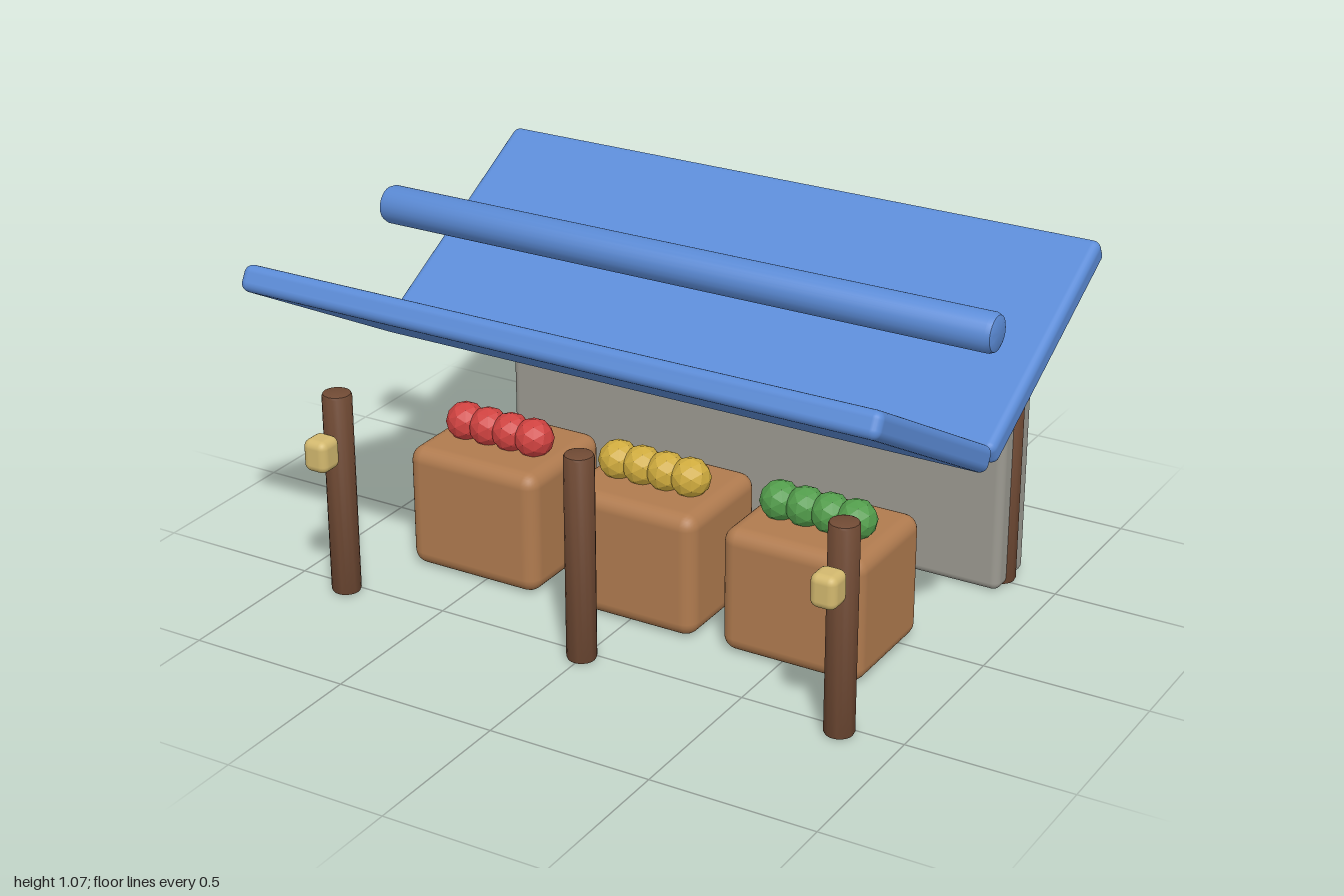
import * as THREE from 'three';
import { RoundedBoxGeometry } from 'three/addons/geometries/RoundedBoxGeometry.js';
import { toCreasedNormals } from 'three/addons/utils/BufferGeometryUtils.js';

function material(name, color, flatShading = false) {
  const m = new THREE.MeshStandardMaterial({ color, flatShading });
  m.name = name;
  return m;
}

// Upright cylinder with small bevels at both ends, centred on the origin
function bevelledRod(radius, length, bevel, sides = 20) {
  const h = length / 2;
  const profile = [
    [0, -h], [radius - bevel, -h], [radius - bevel * 0.3, -h + bevel * 0.3], [radius, -h + bevel],
    [radius, h - bevel], [radius - bevel * 0.3, h - bevel * 0.3], [radius - bevel, h], [0, h],
  ].map(([x, y]) => new THREE.Vector2(x, y));
  return toCreasedNormals(new THREE.LatheGeometry(profile, sides), 0.7);
}

export function createModel() {
  const model = new THREE.Group();
  model.name = 'marketStall';

  const cloth = material('blue roof', 0x5b8bd6);
  const wood = material('dark wood', 0x704a34);
  const stone = material('grey wall', 0x9c9a91);
  const crateWood = material('crate wood', 0xb07b4f);
  const lampGlow = material('lantern yellow', 0xd2b86e);
  const produce = [
    material('red fruit', 0xcf4240, true),
    material('yellow fruit', 0xcfab3e, true),
    material('green fruit', 0x529c4b, true),
  ];

  function add(name, geometry, mat, x, y, z) {
    const mesh = new THREE.Mesh(geometry, mat);
    mesh.name = name;
    mesh.position.set(x, y, z);
    model.add(mesh);
    return mesh;
  }

  // Two roof panels meeting in a valley
  const panel = new RoundedBoxGeometry(2, 0.078, 0.8, 3, 0.025);
  for (const s of [1, -1]) {
    const roof = add(s > 0 ? 'frontRoofPanel' : 'backRoofPanel', panel, cloth, 0, 0.832, s * 0.36);
    roof.rotation.x = -s * 0.5;
  }

  // Pole running above the valley
  const pole = add('roofPole', bevelledRod(0.058, 2, 0.02, 24), cloth, 0, 1.013, 0);
  pole.rotation.z = Math.PI / 2;

  // Back wall with posts set into its ends
  add('backWall', new RoundedBoxGeometry(1.7, 0.64, 0.186, 3, 0.025), stone, 0, 0.32, -0.512);
  const post = bevelledRod(0.044, 0.64, 0.01);
  for (const x of [-0.82, 0.82]) add('backPost', post, wood, x, 0.32, -0.51);

  // Front posts, the outer two carrying lanterns
  const lantern = new RoundedBoxGeometry(0.08, 0.1, 0.084, 3, 0.024);
  for (const x of [-0.82, 0, 0.82]) {
    add('frontPost', post, wood, x, 0.32, 0.533);
    if (x !== 0) add('lantern', lantern, lampGlow, x, 0.48, 0.618);
  }

  // Crates, each with a row of four fruit on top
  const crate = new RoundedBoxGeometry(0.445, 0.385, 0.382, 3, 0.045);
  const fruit = new THREE.IcosahedronGeometry(0.061, 1);
  produce.forEach((mat, i) => {
    const x = (i - 1) * 0.533;
    add('crate', crate, crateWood, x, 0.1925, 0.106);
    for (let k = 0; k < 4; k++) add('fruit', fruit, mat, x + (k - 1.5) * 0.08, 0.428, 0.128);
  });

  return model;
}
